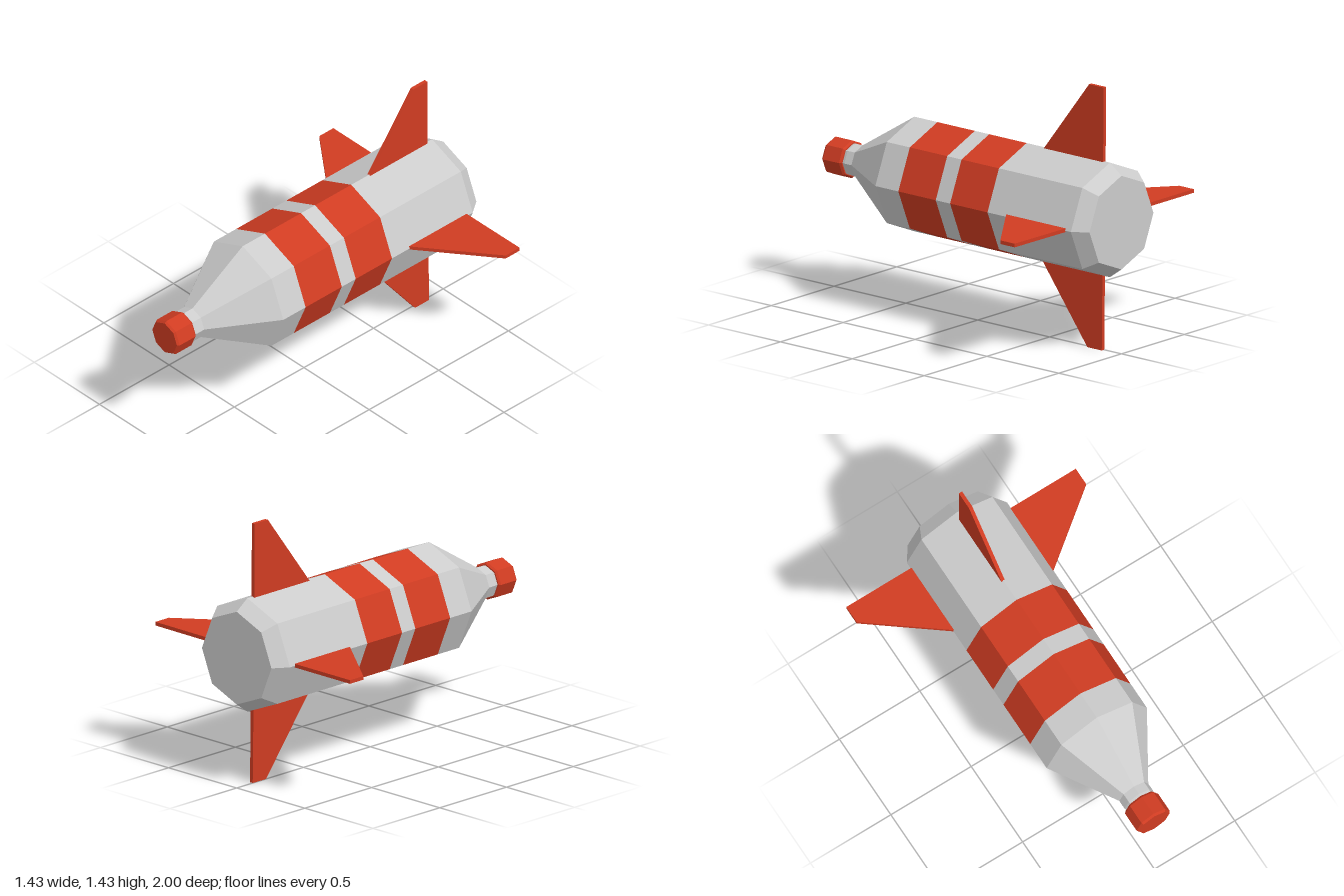
import * as THREE from 'three';

export function createModel() {
  const group = new THREE.Group();
  const grey = new THREE.MeshStandardMaterial({ color: 0xcccccc, flatShading: true });
  grey.name = 'light grey';
  const red = new THREE.MeshStandardMaterial({ color: 0xd03c22, flatShading: true });
  red.name = 'red';

  const CENTRE_Y = 0.717;
  const R = 0.312;

  const add = (name, geometry, material) => {
    const mesh = new THREE.Mesh(geometry, material);
    mesh.name = name;
    mesh.position.y = CENTRE_Y;
    group.add(mesh);
    return mesh;
  };

  // Eight-sided solid along z from [radius, z] pairs, back to front
  const turned = (name, profile, material) => {
    const points = profile.map(([r, z]) => new THREE.Vector2(r, z));
    return add(name, new THREE.LatheGeometry(points, 8).rotateX(Math.PI / 2), material);
  };

  // Body sections and painted bands
  turned('tailSection', [[0, -1], [0.255, -1], [R, -0.92], [R, -0.34]], grey);
  turned('rearBand', [[R, -0.34], [R, -0.08]], red);
  turned('middleSection', [[R, -0.08], [R, 0.02]], grey);
  turned('frontBand', [[R, 0.02], [R, 0.28]], red);
  turned('noseSection', [[R, 0.28], [R, 0.44], [0.09, 0.8], [0.09, 0.85], [0.083, 0.88]], grey);

  // Screw cap with small bevels
  turned('cap', [[0, 0.865], [0.094, 0.865], [0.103, 0.876], [0.103, 0.988], [0.094, 1], [0, 1]], red);

  // Four swept fins, each set a fraction of a degree off square
  const outline = new THREE.Shape([
    [0.28, -0.445], [0.28, -0.88], [0.714, -0.88], [0.714, -0.78],
  ].map(([r, z]) => new THREE.Vector2(r, z)));
  const finGeometry = new THREE.ExtrudeGeometry(outline, { depth: 0.02, bevelEnabled: false })
    .translate(0, 0, -0.01)
    .rotateX(Math.PI / 2);
  const fins = { leftFin: 0.3, topFin: 90.3, rightFin: 180, bottomFin: 270.8 };
  for (const [name, degrees] of Object.entries(fins)) {
    add(name, finGeometry, red).rotation.z = THREE.MathUtils.degToRad(degrees);
  }

  return group;
}
